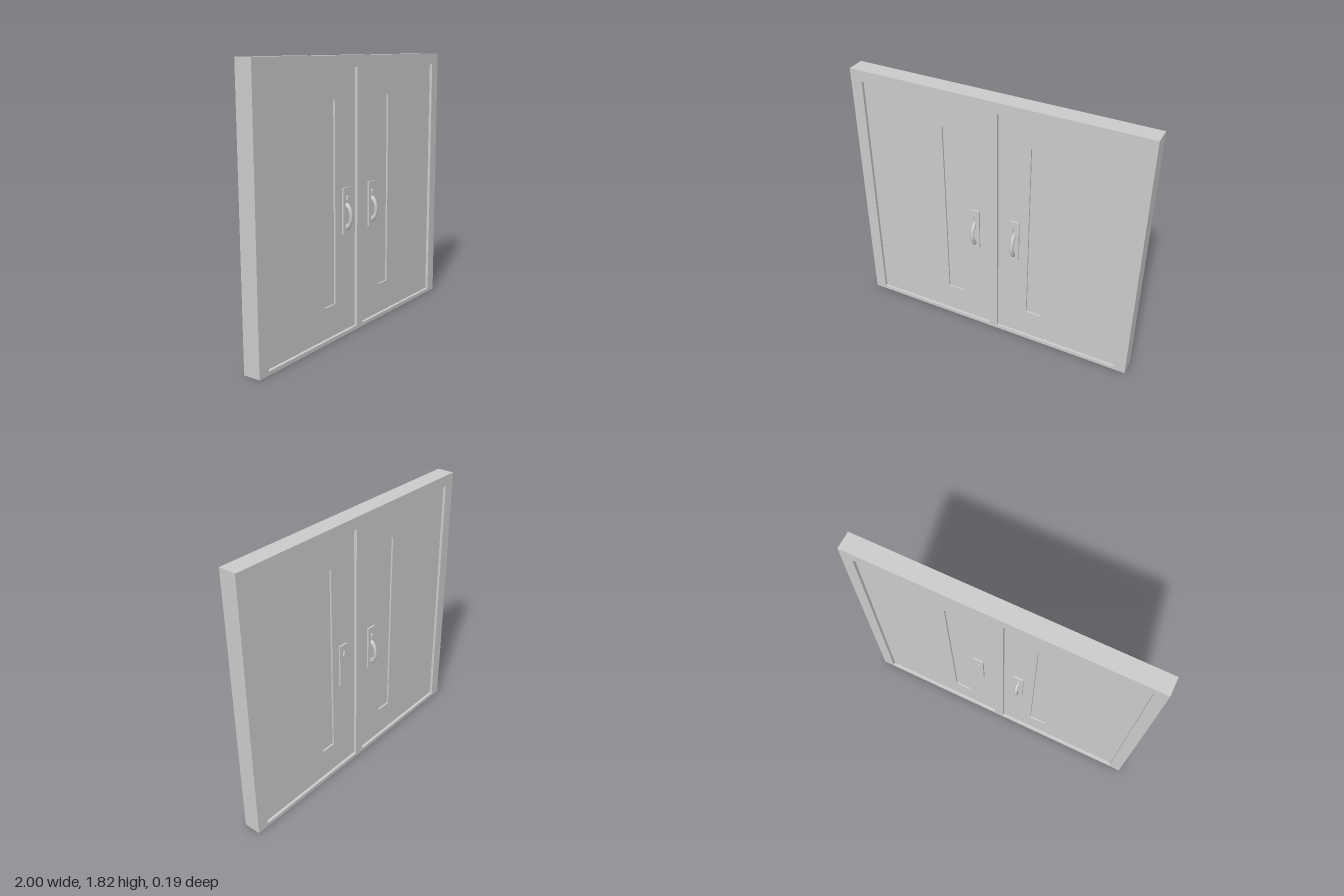
import * as THREE from 'three';

const material = new THREE.MeshStandardMaterial({ color: 0xcccccc });

function rect(target, x0, y0, x1, y1) {
  target.moveTo(x0, y0);
  target.lineTo(x1, y0);
  target.lineTo(x1, y1);
  target.lineTo(x0, y1);
  target.closePath();
  return target;
}

// Flat slab in the xy plane, centred on z = 0
function slab(shape, depth) {
  const g = new THREE.ExtrudeGeometry(shape, { depth, bevelEnabled: false, curveSegments: 10 });
  return g.translate(0, 0, -depth / 2);
}

function add(parent, name, geometry) {
  const mesh = new THREE.Mesh(geometry, material);
  mesh.name = name;
  parent.add(mesh);
  return mesh;
}

// Round keyhole with a slot below it
function keyhole(y) {
  const r = 0.012, w = 0.006, a = Math.asin(w / r);
  const p = new THREE.Path();
  p.moveTo(-w, y - 0.026);
  p.lineTo(w, y - 0.026);
  p.absarc(0, y, r, -Math.PI / 2 + a, Math.PI * 1.5 - a, false);
  p.closePath();
  return p;
}

// Lock plate, with an optional oval pull; local z = 0 is the door face
function makeLock(name, withHandle) {
  const lock = new THREE.Group();
  lock.name = name;
  const thickness = 0.011;
  const shape = rect(new THREE.Shape(), -0.035, 0.68, 0.035, 0.985);
  shape.holes.push(keyhole(0.93));
  add(lock, 'lockPlate', slab(shape, thickness)).position.z = thickness / 2;
  if (withHandle) {
    const arc = new THREE.TorusGeometry(0.0705, 0.0215, 14, 32, Math.PI);
    arc.rotateX(Math.PI / 2).rotateZ(Math.PI / 2).scale(0.6, 1, 0.54);
    add(lock, 'handle', arc).position.set(0, 0.796, 0.007);
  }
  return lock;
}

export function createModel() {
  const model = new THREE.Group();
  model.name = 'doubleDoor';
  const bottom = 0.025, top = 1.74, doorFace = 0.04;
  const doors = [
    { name: 'rightDoor', x0: -0.92, x1: -0.032, win: [-0.36, -0.245], lockX: -0.137, backHandle: true },
    { name: 'leftDoor', x0: 0.034, x1: 0.92, win: [0.25, 0.36], lockX: 0.152, backHandle: false },
  ];

  // Frame with two openings
  const frame = rect(new THREE.Shape(), -1, 0, 1, 1.815);
  for (const d of doors) frame.holes.push(rect(new THREE.Path(), d.x0, bottom, d.x1, top));
  add(model, 'frame', slab(frame, 0.12));

  for (const d of doors) {
    const door = new THREE.Group();
    door.name = d.name;
    model.add(door);

    // Leaf with a tall narrow window set into it
    const [w0, w1] = d.win, y0 = 0.235, y1 = 1.55;
    const leaf = rect(new THREE.Shape(), d.x0, bottom, d.x1, top);
    leaf.holes.push(rect(new THREE.Path(), w0, y0, w1, y1));
    add(door, 'doorLeaf', slab(leaf, doorFace * 2));
    add(door, 'windowPane', new THREE.BoxGeometry(w1 - w0, y1 - y0, 0.056))
      .position.set((w0 + w1) / 2, (y0 + y1) / 2, 0);

    // Locks on both faces
    const front = makeLock('frontLock', true);
    front.position.set(d.lockX, 0, doorFace);
    const back = makeLock('backLock', d.backHandle);
    back.position.set(d.lockX, 0, -doorFace);
    back.rotation.y = Math.PI;
    door.add(front, back);
  }
  return model;
}
